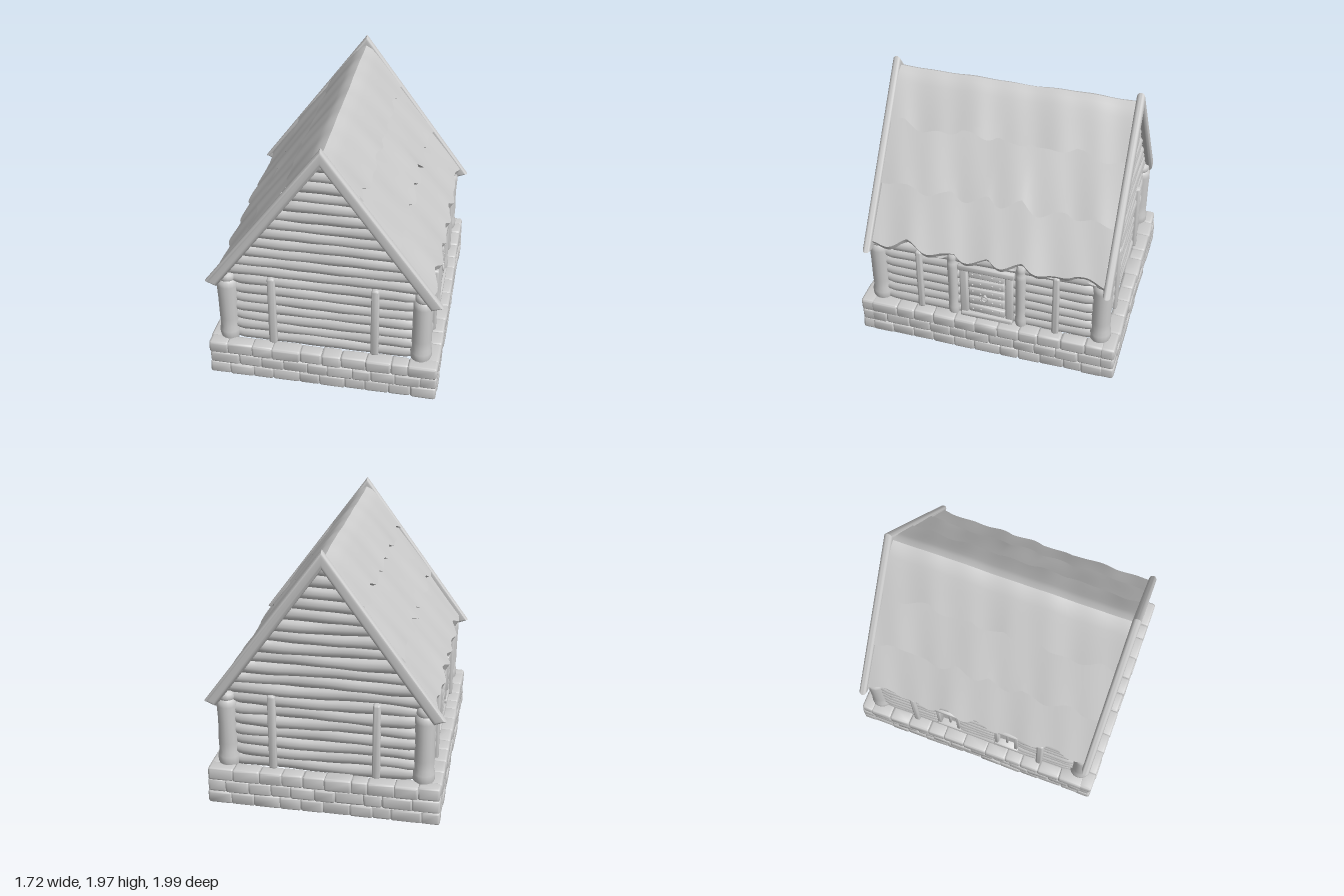
import * as THREE from 'three';
import { mergeVertices, toCreasedNormals } from 'three/addons/utils/BufferGeometryUtils.js';
import { RoundedBoxGeometry } from 'three/addons/geometries/RoundedBoxGeometry.js';

const SLOPE = 1.372;
const material = new THREE.MeshStandardMaterial({ color: 0xcccccc, side: THREE.DoubleSide });

let seed = 7;
const rand = () => (seed = (seed * 16807) % 2147483647) / 2147483647;
const jitter = (a) => (rand() * 2 - 1) * a;
const clamp = THREE.MathUtils.clamp;
const wave = (a, b, s) => Math.sin(a * 9 + s) * 0.5 + Math.sin(a * 21 + b * 13 + s * 2.3) * 0.3 + Math.sin(b * 17 - a * 5 + s) * 0.3;

// Moves every vertex by a rule, then rebuilds the normals
function shape(geo, rule) {
  geo.deleteAttribute('normal');
  geo.deleteAttribute('uv');
  geo = mergeVertices(geo, 1e-5);
  const p = geo.attributes.position, v = new THREE.Vector3();
  for (let i = 0; i < p.count; i++) {
    rule(v.fromBufferAttribute(p, i));
    p.setXYZ(i, v.x, v.y, v.z);
  }
  return toCreasedNormals(geo, 0.9);
}

function add(parent, name, geo, x = 0, y = 0, z = 0) {
  const mesh = new THREE.Mesh(geo, material);
  mesh.name = name;
  mesh.position.set(x, y, z);
  parent.add(mesh);
  return mesh;
}

function subgroup(parent, name) {
  const g = new THREE.Group();
  g.name = name;
  parent.add(g);
  return g;
}

// Uneven log lying along x, with narrowed ends; gable logs are cut to the roof slope
function logGeometry(length, y, cutToRoof) {
  const s = rand() * 50, half = length / 2;
  const geo = new THREE.CylinderGeometry(0.046, 0.046, length, 12, Math.ceil(length * 14)).rotateZ(Math.PI / 2);
  return shape(geo, (v) => {
    const end = cutToRoof ? 1 : 1 - 0.25 * Math.max(0, 1 - (half - Math.abs(v.x)) / 0.04);
    const k = (1 + 0.09 * wave(v.x, 0, s)) * end;
    v.y = v.y * k * 1.18 + 0.006 * Math.sin(v.x * 7 + s);
    v.z = v.z * k + 0.004 * Math.sin(v.x * 5 + s);
    if (cutToRoof) {
      const limit = Math.max(0.01, (1.86 - y - v.y) / SLOPE);
      v.x = clamp(v.x, -limit, limit);
    }
  });
}

// Slightly uneven block for stones, planks and frames
function block(w, h, d, r, rough) {
  const s = rand() * 50;
  return shape(new RoundedBoxGeometry(w, h, d, 2, r), (v) => {
    const n = rough * wave(v.x + v.z, v.y, s);
    v.x += Math.sign(v.x) * n;
    v.y += n * 0.4;
    v.z += Math.sign(v.z) * n;
  });
}

// Upright round post with swollen foot and notched head
function postGeometry(r, h) {
  const pts = [[0, 0], [1, 0], [1.1, 0.05], [1.1, 0.12], [0.96, 0.18], [1, 0.3], [1, 0.6], [1.04, 0.8],
    [1.02, 0.86], [0.82, 0.89], [0.92, 0.92], [0.85, 0.97], [0.6, 1], [0, 1]];
  const s = rand() * 50;
  const geo = new THREE.LatheGeometry(pts.map(([a, b]) => new THREE.Vector2(a * r, b * h)), 16);
  return shape(geo, (v) => { v.x *= 1 + 0.05 * wave(v.y, 0, s); });
}

// Three courses of close-set stones in a hollow ring
function buildFoundation(model) {
  const g = subgroup(model, 'foundation'), h = 0.094;
  for (let course = 0; course < 3; course++) {
    const y = h * (course + 0.5) + 0.004;
    const run = (length, count, place) => {
      const cuts = [-length / 2];
      for (let i = 1; i < count; i++) cuts.push(-length / 2 + (i + (course % 2 ? 0.3 : -0.1) + jitter(0.16)) * length / count);
      cuts.push(length / 2);
      for (let i = 0; i < count; i++) place(cuts[i + 1] - cuts[i] + 0.008, (cuts[i] + cuts[i + 1]) / 2);
    };
    for (const side of [-1, 1]) {
      run(1.68, 10, (w, c) => add(g, 'foundationStone', block(w, h + 0.008, 0.11 + jitter(0.008), 0.02, 0.004), c, y, side * 0.932));
      run(1.8, 11, (w, c) => add(g, 'foundationStone', block(0.11 + jitter(0.008), h + 0.008, w, 0.02, 0.004), side * 0.79, y, c));
    }
  }
}

// Log walls, gables and upright posts
function buildWalls(model) {
  const g = subgroup(model, 'walls'), pitch = 0.083, base = 0.32;
  for (let i = 0; i < 19; i++) {
    const y = base + pitch * i, gable = i >= 7;
    const length = gable ? Math.min(1.5, 2 * (1.9 - y) / SLOPE) : 1.34;
    for (const side of [-1, 1]) add(g, gable ? 'gableLog' : 'endWallLog', logGeometry(length, y, gable), 0, y, side * 0.84);
    if (gable) continue;
    const sideLog = (x, z, len) => { add(g, 'sideWallLog', logGeometry(len, y, false), x, y, z).rotation.y = Math.PI / 2; };
    if (i === 6) {
      sideLog(0.715, 0, 1.58);
      sideLog(-0.715, 0, 1.58);
    } else {
      for (const z of [-0.495, 0.495]) sideLog(0.715, z, 0.63);
      if (i === 0) sideLog(-0.715, 0, 1.58);
      else {
        for (const z of [-0.555, 0.555]) sideLog(-0.715, z, 0.5);
        sideLog(-0.715, 0, 0.36);
      }
    }
  }
  for (const sx of [-1, 1]) for (const sz of [-1, 1]) {
    add(g, 'cornerPost', postGeometry(0.072, 0.59), sx * 0.71, 0.28, sz * 0.85);
    add(g, 'endWallPost', block(0.056, 0.59, 0.125, 0.018, 0.003), sx * 0.375, 0.575, sz * 0.845);
    add(g, 'sideWallPost', block(0.125, 0.55, 0.05, 0.018, 0.003), sx * 0.72, 0.555, sz * 0.52);
  }
  for (const z of [-0.255, 0.265]) add(g, 'doorPost', postGeometry(0.04, 0.58), 0.745, 0.28, z);
}

// Plank door with frame, nails and ring
function buildDoor(model) {
  const g = subgroup(model, 'door');
  g.position.set(0.745, 0, 0.005);
  add(g, 'doorPanel', block(0.02, 0.46, 0.29, 0.005, 0), -0.015, 0.52, 0);
  for (let i = 0; i < 5; i++) {
    const y = 0.36 + i * 0.084;
    add(g, 'doorPlank', block(0.03, 0.07, 0.275, 0.01, 0.004), 0.005, y, 0).rotation.x = jitter(0.06);
    for (const z of [-0.105, -0.045, 0.045, 0.105]) add(g, 'doorNail', new THREE.SphereGeometry(0.008, 8, 6), 0.02, y + jitter(0.012), z);
  }
  for (const z of [-0.175, 0.175]) add(g, 'doorJamb', block(0.06, 0.47, 0.06, 0.012, 0.002), -0.005, 0.515, z);
  add(g, 'doorLintel', block(0.07, 0.055, 0.43, 0.012, 0.003), 0, 0.755, 0);
  add(g, 'doorSill', block(0.08, 0.045, 0.4, 0.012, 0.003), 0, 0.302, 0);
  const ring = add(g, 'doorRing', new THREE.TorusGeometry(0.024, 0.006, 8, 18), 0.03, 0.485, 0.01);
  ring.rotation.y = Math.PI / 2;
  add(g, 'ringMount', new THREE.SphereGeometry(0.012, 10, 8), 0.025, 0.512, 0.01);
}

// Two framed windows with crossed bars
function buildWindows(model) {
  for (const z of [-0.24, 0.24]) {
    const g = subgroup(model, 'window');
    g.position.set(-0.715, 0.585, z);
    add(g, 'windowPane', new THREE.BoxGeometry(0.01, 0.36, 0.16));
    for (const s of [-1, 1]) {
      add(g, 'windowJamb', block(0.1, 0.37, 0.032, 0.01, 0.002), 0, 0, s * 0.08);
      add(g, 'windowRail', block(0.12, 0.035, 0.2, 0.01, 0.002), 0, s * 0.185, 0);
    }
    add(g, 'windowUpright', block(0.05, 0.36, 0.018, 0.005, 0.001));
    add(g, 'windowCrossbar', block(0.05, 0.018, 0.15, 0.005, 0.001), 0, 0.05, 0);
  }
}

// One thatch sheet between two x positions, with a ragged outer edge tucked under by a lip
function thatchGeometry(xa, xb, lift, base, lipDrop) {
  const nx = 14, nz = 80, s = rand() * 50;
  const crown = xa < 0 && xb > 0;
  const inner = crown ? 0 : Math.min(Math.abs(xa), Math.abs(xb)), outer = Math.max(Math.abs(xa), Math.abs(xb));
  const geo = new THREE.PlaneGeometry(1, 1.74, nx, nz).rotateX(-Math.PI / 2);
  return shape(geo, (v) => {
    const z = v.z, col = Math.round((v.x + 0.5) * nx);
    const lip = (col === 0 && xa < 0) || (col === nx && xb > 0);
    const first = xa < 0 ? 1 : 0, last = xb > 0 ? nx - 1 : nx;
    const x = xa + (xb - xa) * clamp((col - first) / (last - first), 0, 1);
    const t = (Math.abs(x) - inner) / (outer - inner);
    const ragged = 0.022 * (Math.abs(Math.sin(z * 9 + s + Math.sin(z * 4))) * 1.4 - 0.7) + 0.01 * Math.sin(z * 23 + s);
    const ax = Math.abs(x) + ragged * t * t;
    const bump = 0.012 * wave(z, x * 0.6, s) * (0.5 + t);
    v.x = Math.sign(x) * (ax - (lip ? 0.025 : 0));
    v.y = 1.96 + base - SLOPE * Math.hypot(ax, 0.045) + lift * t + bump - (lip ? lipDrop : 0);
  });
}

function buildRoof(model) {
  const g = subgroup(model, 'roof');
  add(g, 'roofLining', thatchGeometry(-0.75, 0.75, 0, -0.085, 0));
  add(g, 'ridgeThatch', thatchGeometry(-0.28, 0.28, 0.015, 0, 0.008));
  for (const [a, b, lift, base, drop] of [[0.2, 0.54, 0.03, -0.025, 0.008], [0.45, 0.78, 0.02, -0.045, 0.045]]) {
    add(g, 'thatchLayer', thatchGeometry(a, b, lift, base, drop));
    add(g, 'thatchLayer', thatchGeometry(-b, -a, lift, base, drop));
  }
  // Rounded boards along both gable edges
  const board = new THREE.Shape([[0, 1.929], [0.818, 0.807], [0.785, 0.795], [0, 1.878], [-0.785, 0.795], [-0.818, 0.807]]
    .map(([x, y]) => new THREE.Vector2(x, y)));
  const geo = new THREE.ExtrudeGeometry(board, { depth: 0.008, bevelThickness: 0.026, bevelSize: 0.03, bevelSegments: 5 });
  const rounded = shape(geo, () => {});
  for (const z of [-0.904, 0.896]) add(g, 'gableBoard', rounded, 0, 0, z);
}

export function createModel() {
  const model = new THREE.Group();
  model.name = 'logCabin';
  buildFoundation(model);
  buildWalls(model);
  buildDoor(model);
  buildWindows(model);
  buildRoof(model);
  return model;
}
